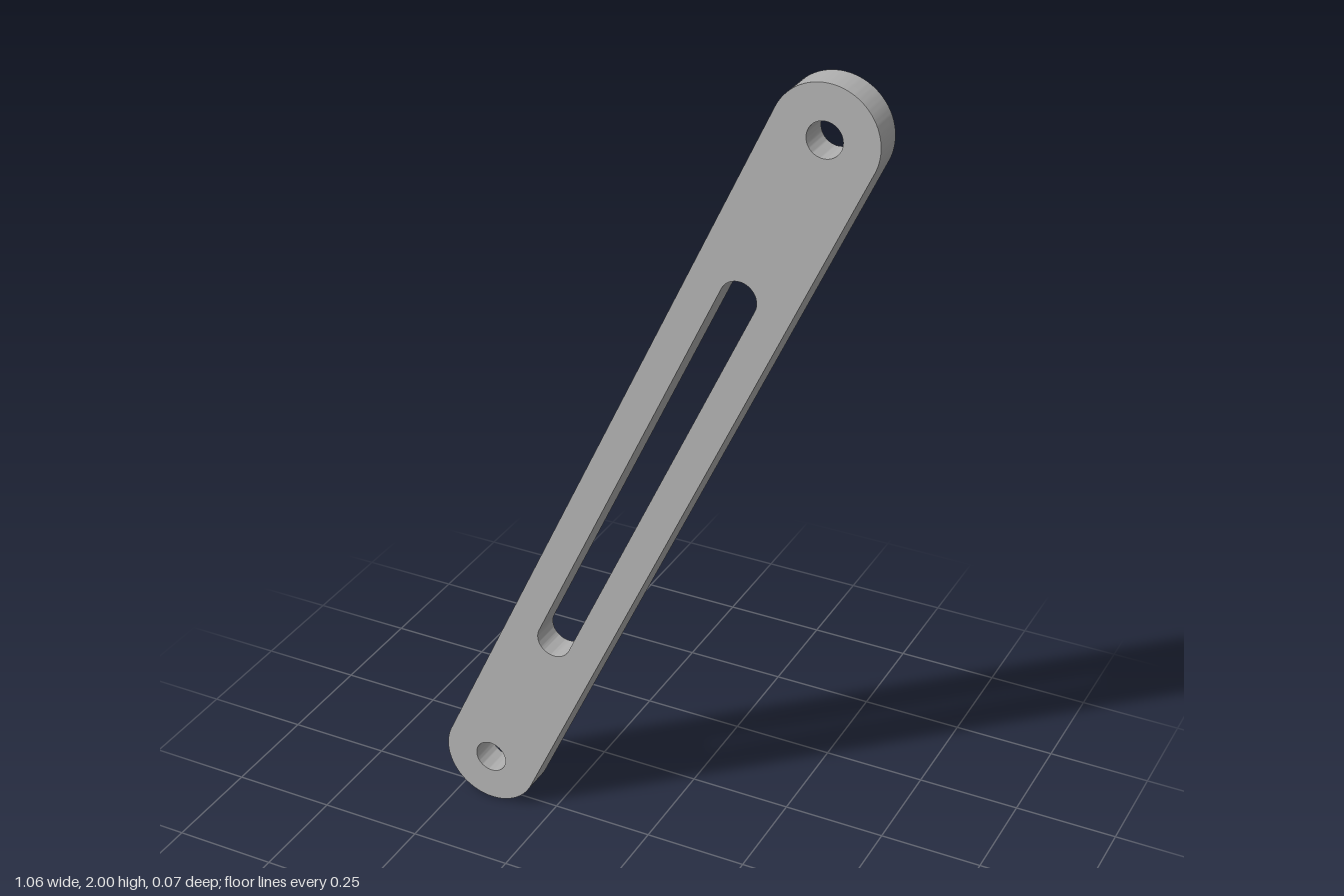
import * as THREE from 'three';
import { toCreasedNormals } from 'three/addons/utils/BufferGeometryUtils.js';

const THICKNESS = 0.074;
const PIVOT = { x: 0.408, y: 0.88 }; // upper pin centre, measured from the bar's middle

// Stadium outline along x: two half circles joined by straight edges
function stadium(path, half, radius) {
  path.absarc(half, 0, radius, -Math.PI / 2, Math.PI / 2, false);
  path.absarc(-half, 0, radius, Math.PI / 2, Math.PI * 1.5, false);
  path.closePath();
  return path;
}

export function createModel() {
  const group = new THREE.Group();
  group.name = 'slottedLink';

  const grey = new THREE.MeshStandardMaterial({ color: 0xb0b0b0 });
  grey.name = 'grey metal';

  // Bar outline with a long central slot and a pin hole at each end
  const half = Math.hypot(PIVOT.x, PIVOT.y);
  const outline = stadium(new THREE.Shape(), half, 0.12);
  outline.holes.push(stadium(new THREE.Path(), 0.54, 0.0425));
  for (const side of [-1, 1]) {
    outline.holes.push(new THREE.Path().absarc(side * half, 0, 0.04, 0, Math.PI * 2, true));
  }

  // Extrude, centre in depth and smooth the rounded walls
  const geometry = new THREE.ExtrudeGeometry(outline, {
    depth: THICKNESS, bevelEnabled: false, curveSegments: 32,
  });
  geometry.translate(0, 0, -THICKNESS / 2);

  const bar = new THREE.Mesh(toCreasedNormals(geometry, Math.PI / 6), grey);
  bar.name = 'slottedBar';
  bar.rotation.z = Math.atan2(PIVOT.y, PIVOT.x);
  bar.position.y = 1;
  group.add(bar);

  return group;
}
